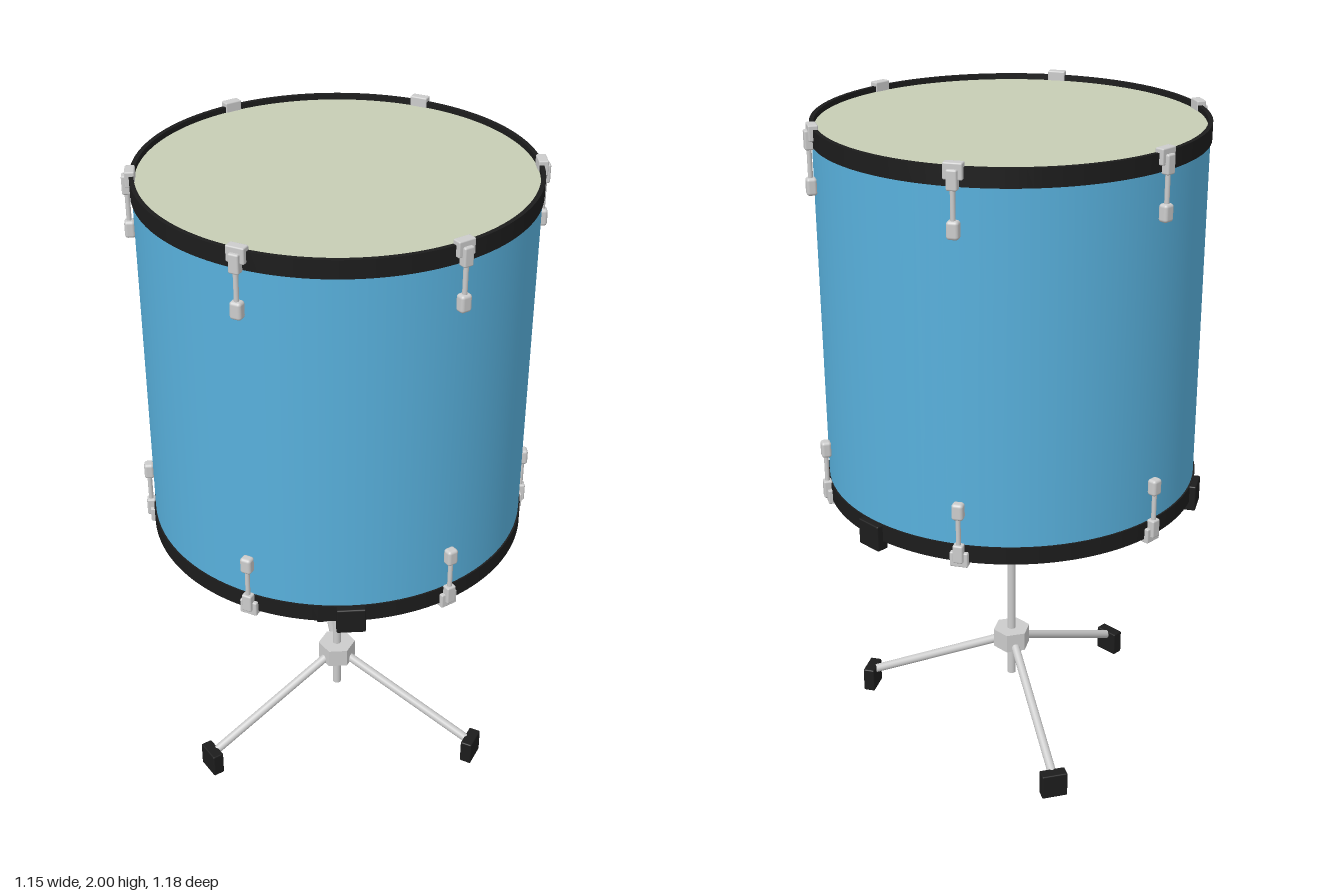
import * as THREE from 'three';
import { RoundedBoxGeometry } from 'three/addons/geometries/RoundedBoxGeometry.js';

const mat = (color) => new THREE.MeshStandardMaterial({ color });

export function createModel() {
  const metal = mat(0xcccccc);
  const black = mat(0x1c1c1c);
  const blue = mat(0x58b0dc);
  const cream = mat(0xc6cdb4);

  const model = new THREE.Group();
  model.name = 'floorDrum';
  const body = new THREE.Group();
  body.name = 'drumOnStand';
  body.position.x = 0.006;
  model.add(body);

  const add = (parent, name, geometry, material, x = 0, y = 0, z = 0) => {
    const mesh = new THREE.Mesh(geometry, material);
    mesh.name = name;
    mesh.position.set(x, y, z);
    parent.add(mesh);
    return mesh;
  };

  // Group whose local +x points outward at the given angle around the drum
  const spoke = (name, degrees) => {
    const group = new THREE.Group();
    group.name = name;
    group.rotation.y = THREE.MathUtils.degToRad(degrees);
    body.add(group);
    return group;
  };

  // Straight round tube between two points in a spoke's x-y plane
  const tube = (parent, name, x1, y1, x2, y2, radius) => {
    const dx = x2 - x1, dy = y2 - y1;
    const geometry = new THREE.CylinderGeometry(radius, radius, Math.hypot(dx, dy), 16);
    const mesh = add(parent, name, geometry, metal, (x1 + x2) / 2, (y1 + y2) / 2);
    mesh.rotation.z = Math.atan2(dy, dx) - Math.PI / 2;
    return mesh;
  };

  // Shell, heads and hoops
  const MID = 1.423;
  const shell = new THREE.CylinderGeometry(0.56, 0.56, 1.08, 96, 1, true);
  add(body, 'shell', shell, blue, 0, MID);

  const hoopShape = new THREE.Shape().absarc(0, 0, 0.565, 0, Math.PI * 2);
  hoopShape.holes.push(new THREE.Path().absarc(0, 0, 0.552, 0, Math.PI * 2, true));
  const hoopGeometry = new THREE.ExtrudeGeometry(hoopShape, {
    depth: 0.052, bevelEnabled: false, curveSegments: 96,
  });
  hoopGeometry.rotateX(-Math.PI / 2).translate(0, -0.026, 0);
  const headGeometry = new THREE.CylinderGeometry(0.555, 0.555, 0.006, 96);
  for (const side of [1, -1]) {
    const end = side > 0 ? 'top' : 'bottom';
    add(body, end + 'Hoop', hoopGeometry, black, 0, MID + side * 0.538);
    add(body, end + 'Head', headGeometry, cream, 0, MID + side * 0.545);
  }

  // Tension hardware: claw over the hoop, rod, and lug on the shell
  const clawTop = new RoundedBoxGeometry(0.028, 0.045, 0.053, 2, 0.004);
  const clawEar = new RoundedBoxGeometry(0.026, 0.055, 0.03, 2, 0.005);
  const lug = new RoundedBoxGeometry(0.03, 0.05, 0.034, 3, 0.009);
  for (let i = 0; i < 6; i++) {
    const tension = spoke('tensionSet' + (i + 1), 30 + i * 60);
    for (const side of [1, -1]) {
      const y = (offset) => MID + side * offset;
      add(tension, 'claw', clawTop, metal, 0.563, y(0.554));
      add(tension, 'clawEar', clawEar, metal, 0.574, y(0.533));
      tube(tension, 'tensionRod', 0.574, y(0.42), 0.574, y(0.52), 0.007);
      add(tension, 'lug', lug, metal, 0.573, y(0.402));
    }
  }

  // Stand: centre pole with two hexagonal hubs
  add(body, 'centrePole', new THREE.CylinderGeometry(0.0135, 0.0135, 0.62, 20), metal, 0, 0.445);
  const hub = new THREE.CylinderGeometry(0.06, 0.06, 0.062, 6).toNonIndexed();
  hub.computeVertexNormals();
  add(body, 'upperHub', hub, metal, 0, 0.637);
  add(body, 'lowerHub', hub, metal, 0, 0.275);

  // Three cradle arms rising to the rim, three legs going down between them
  const pad = new RoundedBoxGeometry(0.038, 0.08, 0.083, 2, 0.004);
  const foot = new RoundedBoxGeometry(0.037, 0.08, 0.08, 2, 0.004);
  for (let i = 0; i < 3; i++) {
    const arm = spoke('cradleArm' + (i + 1), 60 + i * 120);
    tube(arm, 'armTube', 0.03, 0.64, 0.555, 0.847, 0.0135);
    add(arm, 'rimPad', pad, black, 0.564, 0.87);

    const leg = spoke('standLeg' + (i + 1), i * 120);
    tube(leg, 'legTube', 0.03, 0.265, 0.485, 0.062, 0.0135);
    add(leg, 'foot', foot, black, 0.489, 0.04);
  }

  return model;
}
